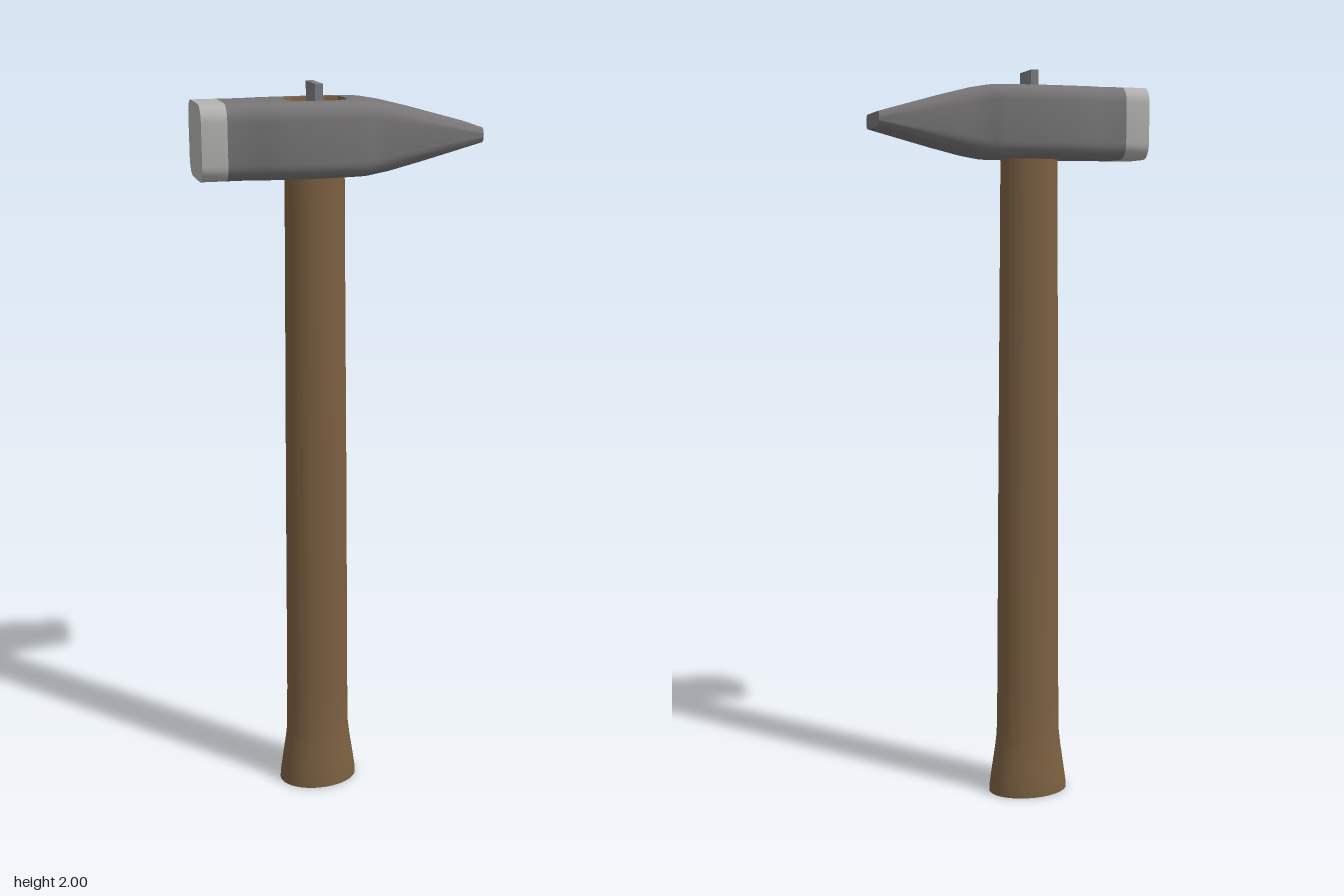
import * as THREE from 'three';
import { mergeGeometries, toCreasedNormals } from 'three/addons/utils/BufferGeometryUtils.js';

const HEAD_Y = 1.865, HEAD_HALF = 0.095, EYE_X = -0.059;

// Skins a row of equal-length rings; skip(i, j) leaves a face out.
function loft(rings, { startCap = false, endCap = false, skip = () => false } = {}) {
  const pos = [], n = rings[0].length;
  const tri = (...pts) => pts.forEach((p) => pos.push(p.x, p.y, p.z));
  for (let i = 0; i < rings.length - 1; i++) {
    for (let j = 0; j < n; j++) {
      if (skip(i, j)) continue;
      const k = (j + 1) % n;
      const a = rings[i][j], b = rings[i][k], c = rings[i + 1][k], d = rings[i + 1][j];
      tri(a, b, c);
      tri(a, c, d);
    }
  }
  const cap = (ring, flip) => {
    const mid = ring.reduce((s, p) => s.add(p), new THREE.Vector3()).divideScalar(n);
    ring.forEach((p, j) => {
      const q = ring[(j + 1) % n];
      if (flip) tri(mid, q, p);
      else tri(mid, p, q);
    });
  };
  if (startCap) cap(rings[0], true);
  if (endCap) cap(rings[rings.length - 1], false);
  const g = new THREE.BufferGeometry();
  g.setAttribute('position', new THREE.Float32BufferAttribute(pos, 3));
  return g;
}

// Rounded rectangle across the head; its last edge is the flat top.
function headRing([x, hy, hz, r]) {
  const pts = [], steps = 6;
  [[1, 1], [-1, 1], [-1, -1], [1, -1]].forEach(([sy, sz], q) => {
    for (let s = 0; s <= steps; s++) {
      const t = (q + s / steps) * Math.PI / 2;
      pts.push(new THREE.Vector3(x,
        HEAD_Y + sy * (hy - r) + r * Math.cos(t),
        sz * (hz - r) + r * Math.sin(t)));
    }
  });
  return pts;
}

// Eye outline as [dx, dz], running from x towards z
function eyeOutline() {
  const q = [[0.079, 0.022], [0.073, 0.041], [0.047, 0.058]];
  const half = [...q, ...q.map(([x, z]) => [-x, z]).reverse()];
  return [...half, ...half.map(([x, z]) => [-x, -z])];
}

export function createModel() {
  const steel = new THREE.MeshStandardMaterial({ color: 0x777576 });
  const polished = new THREE.MeshStandardMaterial({ color: 0xb2b2b0 });
  const wood = new THREE.MeshStandardMaterial({ color: 0x7b6041 });
  const wedgeMetal = new THREE.MeshStandardMaterial({ color: 0x7b7d81 });

  const model = new THREE.Group();
  model.name = 'hammer';
  const add = (name, geometry, material) => {
    const mesh = new THREE.Mesh(geometry, material);
    mesh.name = name;
    model.add(mesh);
    return mesh;
  };

  // Head stations: x, half height, half width, corner radius
  const H = HEAD_HALF, R = 0.042;
  const stations = [
    [-0.3, H, 0.096, R], [-0.235, H, 0.096, R], [-0.215, H, 0.104, R],
    [-0.15, H, 0.11, R], [-0.085, H, 0.113, R], [-0.02, H, 0.11, R],
    [0.04, H, 0.104, R], [0.06, 0.0942, 0.101, R], [0.072, 0.0932, 0.0965, R],
    [0.12, 0.085, 0.095, R], [0.2, 0.065, 0.092, 0.036], [0.365, 0.019, 0.087, 0.016],
  ];
  const eyeFrom = 3, eyeTo = 6;
  const rings = stations.map(headRing);
  const body = loft(rings, {
    endCap: true,
    skip: (i, j) => j === rings[0].length - 1 && i >= eyeFrom && i < eyeTo,
  });

  // Flat top around the eye, with the opening cut out
  const side = stations.slice(eyeFrom, eyeTo + 1).map(([x, , hz, r]) => new THREE.Vector2(x, hz - r));
  const topShape = new THREE.Shape([
    ...side.map((p) => new THREE.Vector2(p.x, -p.y)), ...side.slice().reverse(),
  ]);
  topShape.holes.push(new THREE.Path(eyeOutline().map(([x, z]) => new THREE.Vector2(EYE_X + x, -z))));
  const top = new THREE.ShapeGeometry(topShape).toNonIndexed();
  top.deleteAttribute('uv');
  top.deleteAttribute('normal');
  top.rotateX(-Math.PI / 2).translate(0, HEAD_Y + H, 0);
  add('head', toCreasedNormals(mergeGeometries([body, top]), 0.6), steel);

  // Bright striking face
  const face = loft([headRing([-0.365, H, 0.096, R]), rings[0]], { startCap: true });
  add('strikingFace', toCreasedNormals(face, 0.6), polished);

  // Wooden lining that slopes down inside the eye
  const rim = eyeOutline().map(([x, z]) => new THREE.Vector3(EYE_X + x, HEAD_Y + H, z));
  const seat = eyeOutline().map(([x, z]) => {
    const t = Math.atan2(z / 0.055, x / 0.077);
    return new THREE.Vector3(EYE_X + 0.076 * Math.cos(t), 1.915, 0.054 * Math.sin(t));
  });
  add('eyeLining', toCreasedNormals(loft([seat, rim]), 0.2), wood);

  // Oval handle with a flared foot
  const profile = [
    [0, 0], [0.112, 0], [0.111, 0.02], [0.104, 0.07], [0.095, 0.13], [0.0905, 0.17],
    [0.0885, 0.3], [0.085, 0.9], [0.0795, 1.6], [0.0775, 1.925], [0, 1.925],
  ].map(([r, y]) => new THREE.Vector2(r, y));
  const handle = new THREE.LatheGeometry(profile, 48);
  handle.scale(1, 1, 0.71).translate(EYE_X, 0, 0);
  add('handle', toCreasedNormals(handle, 0.6), wood);

  // Wedge driven into the handle top
  add('wedge', new THREE.BoxGeometry(0.02, 0.1, 0.1), wedgeMetal).position.set(EYE_X, 1.95, 0);

  return model;
}
